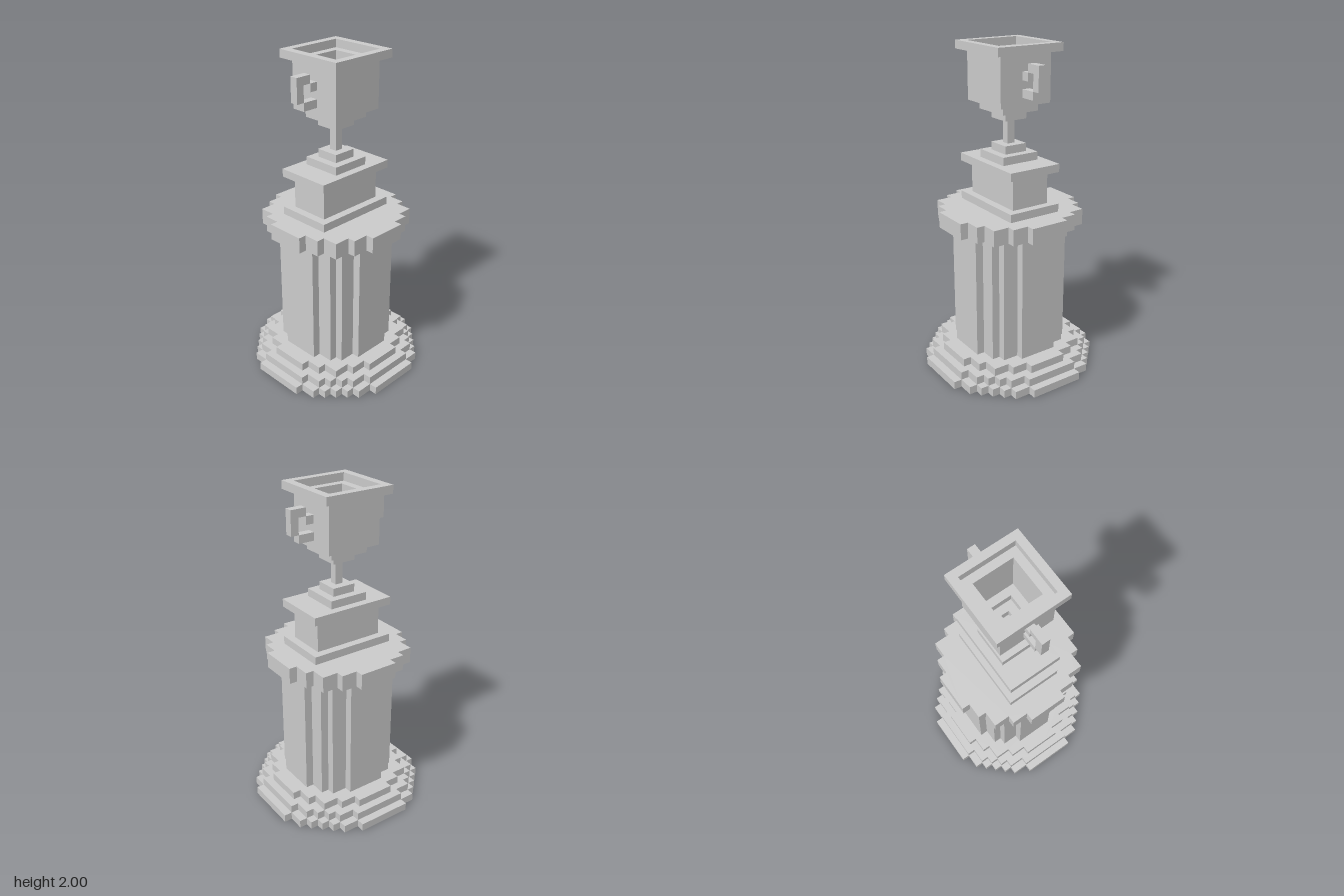
import * as THREE from 'three';

const U = 2 / 41; // one block; the model is 41 blocks tall

export function createModel() {
  const root = new THREE.Group();
  const material = new THREE.MeshStandardMaterial({ color: 0xcccccc, flatShading: true });

  function add(name, geometry, parent = root) {
    const mesh = new THREE.Mesh(geometry, material);
    mesh.name = name;
    parent.add(mesh);
    return mesh;
  }

  // Box given by its limits in blocks
  function box(name, x0, x1, y0, y1, z0, z1, parent) {
    const g = new THREE.BoxGeometry((x1 - x0) * U, (y1 - y0) * U, (z1 - z0) * U);
    g.translate(((x0 + x1) / 2) * U, ((y0 + y1) / 2) * U, ((z0 + z1) / 2) * U);
    return add(name, g, parent);
  }

  // Centred box with half width and half depth
  const slab = (name, hx, hz, y0, y1, parent) => box(name, -hx, hx, y0, y1, -hz, hz, parent);

  // Upright extrusion of a plan shape
  function prism(name, shape, y0, y1, parent) {
    const g = new THREE.ExtrudeGeometry(shape, { depth: (y1 - y0) * U, bevelEnabled: false });
    g.rotateX(-Math.PI / 2);
    g.translate(0, y0 * U, 0);
    return add(name, g, parent);
  }

  // Disc with a block-stepped edge: each row is as wide as the circle allows
  function steppedDisc(name, n, y0, y1) {
    const r = n + 0.5;
    const half = (i) => Math.floor(Math.sqrt(r * r - i * i)) + 0.5;
    const pts = [];
    for (let i = -n; i <= n; i++) {
      pts.push(new THREE.Vector2(half(i) * U, (i - 0.5) * U), new THREE.Vector2(half(i) * U, (i + 0.5) * U));
    }
    const left = pts.map((p) => new THREE.Vector2(-p.x, p.y)).reverse();
    return prism(name, new THREE.Shape([...pts, ...left]), y0, y1);
  }

  // Square ring with an open middle
  function squareRing(name, outer, inner, y0, y1, parent) {
    const corners = (h) => [[-h, -h], [h, -h], [h, h], [-h, h]].map(([x, y]) => new THREE.Vector2(x * U, y * U));
    const shape = new THREE.Shape(corners(outer));
    shape.holes.push(new THREE.Path(corners(inner).reverse()));
    return prism(name, shape, y0, y1, parent);
  }

  // Round pedestal
  steppedDisc('baseLower', 10, 0, 1);
  steppedDisc('baseMiddle', 9, 1, 2);
  steppedDisc('baseUpper', 8, 2, 3);
  steppedDisc('column', 6, 3, 19);
  steppedDisc('columnCap', 8, 19, 21);

  // Rectangular plinth
  slab('plinthFoot', 5.5, 3.5, 21, 22);
  slab('plinthBlock', 4.5, 2.5, 22, 26);
  slab('plinthTop', 5.5, 3.5, 26, 27);

  // Cup with a hollow, stepped bowl
  const cup = new THREE.Group();
  cup.name = 'cup';
  root.add(cup);
  slab('cupFootLower', 2.5, 2.5, 27, 28, cup);
  slab('cupFootUpper', 1.5, 1.5, 28, 29, cup);
  slab('stem', 0.5, 0.5, 29, 32, cup);
  squareRing('bowlBottom', 1.5, 0.5, 32, 33, cup);
  squareRing('bowlStep', 2.5, 1.5, 33, 34, cup);
  squareRing('bowlWall', 3.5, 2.5, 34, 40, cup);
  squareRing('rim', 4.5, 3.5, 40, 41, cup);

  // Mirrored handles: [x0, x1, y0, y1] of each piece
  const pieces = [[3.5, 4.5, 37, 38], [4.5, 6.5, 38, 39], [5.5, 6.5, 36, 38], [3.5, 5.5, 35, 36]];
  for (const side of [1, -1]) {
    const handle = new THREE.Group();
    handle.name = side > 0 ? 'handleLeft' : 'handleRight';
    cup.add(handle);
    for (const [a, b, y0, y1] of pieces) {
      box('handlePiece', Math.min(a * side, b * side), Math.max(a * side, b * side), y0, y1, -0.5, 0.5, handle);
    }
  }

  return root;
}
